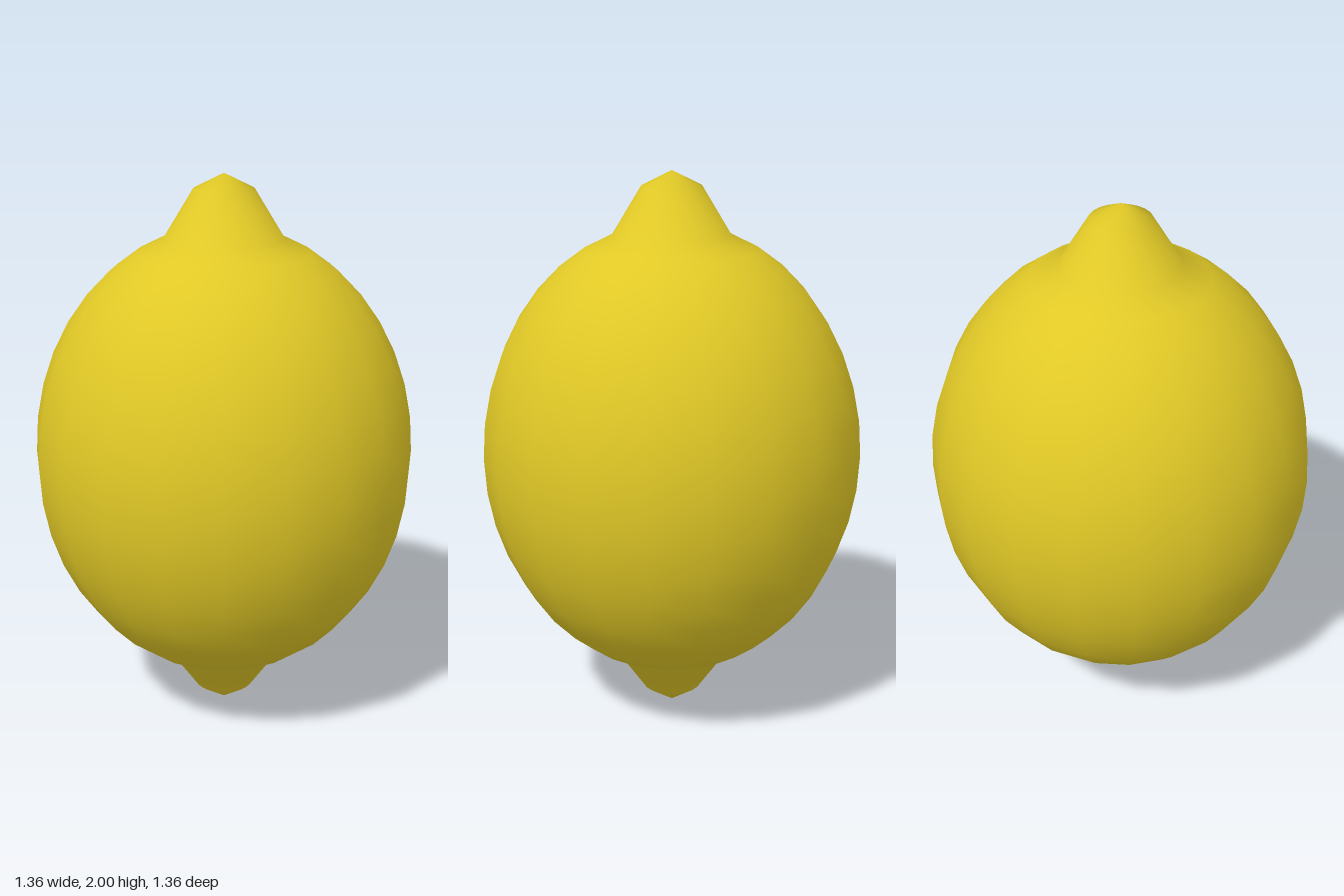
import * as THREE from 'three';
import { mergeVertices } from 'three/addons/utils/BufferGeometryUtils.js';

const RADIUS = 0.68, HALF_HEIGHT = 0.82, SIDES = 20, RINGS = 20;

// Heights of the two rings nearest each pole, pulled out into the pointed tips
const tipHeights = { 0: 2, 1: 1.947, [RINGS - 1]: 0.07, [RINGS]: 0 };

export function createModel() {
  const lemonYellow = new THREE.MeshStandardMaterial({ color: 0xe0c826 });
  lemonYellow.name = 'lemonYellow';

  // Sphere stretched into an ellipsoid, ring by ring, with a nub at both ends
  const sphere = new THREE.SphereGeometry(RADIUS, SIDES, RINGS);
  const position = sphere.attributes.position;
  for (let i = 0; i < position.count; i++) {
    const ring = Math.floor(i / (SIDES + 1));
    const ellipsoidY = 0.997 + HALF_HEIGHT * Math.cos((ring / RINGS) * Math.PI);
    position.setY(i, tipHeights[ring] ?? ellipsoidY);
  }

  // Weld the seam and poles so the skin shades smoothly all round
  sphere.deleteAttribute('normal');
  sphere.deleteAttribute('uv');
  const skin = mergeVertices(sphere, 1e-4);
  skin.computeVertexNormals();

  const lemon = new THREE.Mesh(skin, lemonYellow);
  lemon.name = 'lemon';
  const group = new THREE.Group();
  group.name = 'lemonFruit';
  group.add(lemon);
  return group;
}
